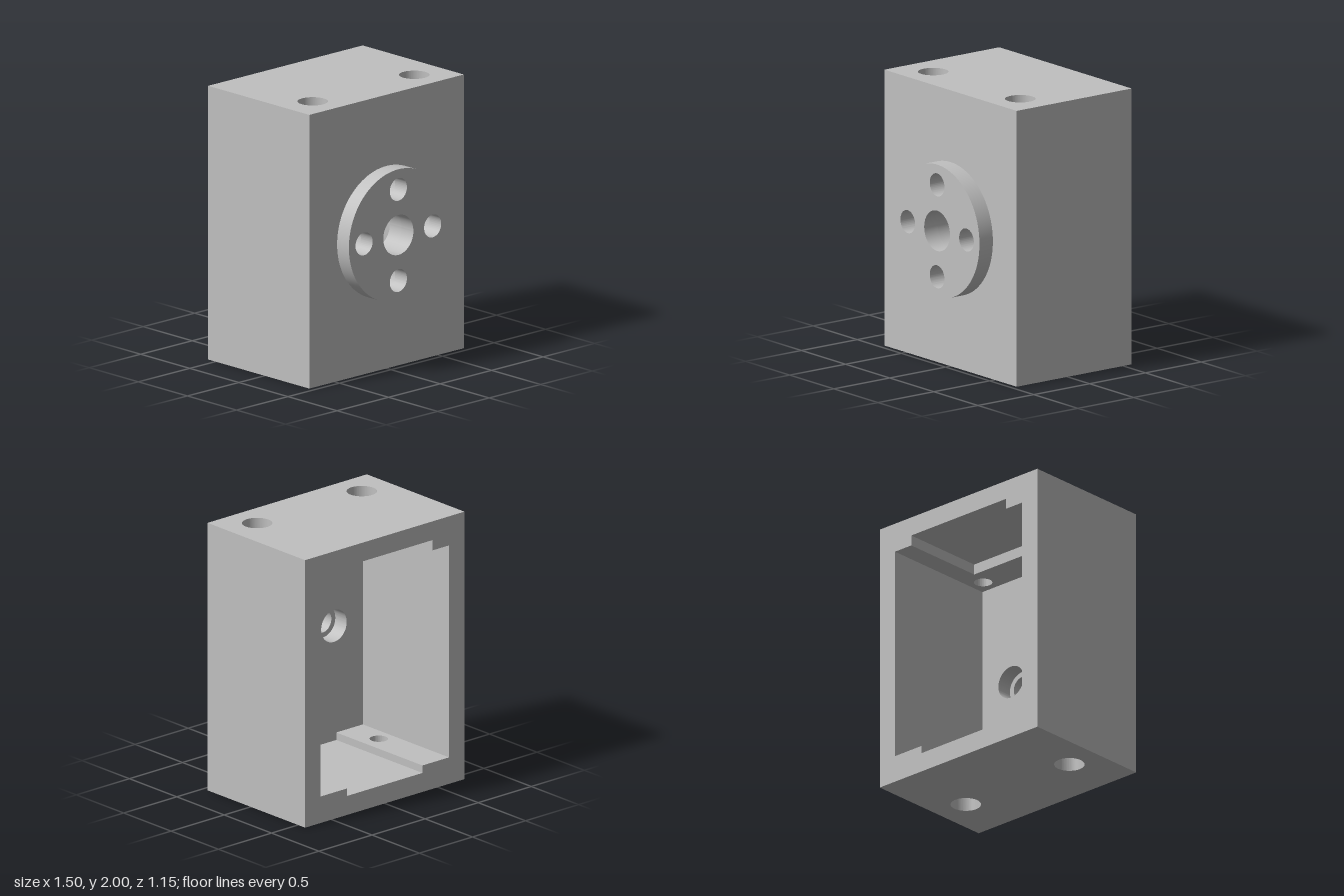
import * as THREE from 'three';
import { toCreasedNormals } from 'three/addons/utils/BufferGeometryUtils.js';

const BACK = -0.575, WALL = 0.335, FACE = 0.455, TIP = 0.575; // z planes
const OUT = 0.75, IN = 0.605; // half widths outside and inside
const MID = 1; // height of the flange centre

export function createModel() {
  const group = new THREE.Group();
  const grey = new THREE.MeshStandardMaterial({ color: 0xc0c0c0 });
  grey.name = 'plain grey';

  const add = (name, geometry) => {
    const mesh = new THREE.Mesh(geometry, grey);
    mesh.name = name;
    group.add(mesh);
  };
  const circle = (Type, x, y, r) => new Type().absarc(x, y, r, 0, Math.PI * 2, false);
  const polygon = (pts) => new THREE.Shape(pts.map(([x, y]) => new THREE.Vector2(x, y)));
  const rect = (x0, y0, x1, y1) => polygon([[x0, y0], [x1, y0], [x1, y1], [x0, y1]]);
  const extrude = (shape, holes, depth) => {
    for (const [x, y, r] of holes) shape.holes.push(circle(THREE.Path, x, y, r));
    const geo = new THREE.ExtrudeGeometry(shape, { depth, bevelEnabled: false, curveSegments: 48 });
    return toCreasedNormals(geo, 0.5);
  };
  // Layer drawn in x and -z, extruded upwards between two heights
  const layer = (name, shape, holes, y0, y1) =>
    add(name, extrude(shape, holes, y1 - y0).rotateX(-Math.PI / 2).translate(0, y0, 0));

  // Front wall and round flange: centre bore and four counterbored holes
  const bolts = (r) => [
    [0, MID, 0.146],
    ...[0, 1, 2, 3].map((i) => {
      const a = (i * Math.PI) / 2;
      return [0.333 * Math.cos(a), MID + 0.333 * Math.sin(a), r];
    }),
  ];
  add('frontWall', extrude(rect(-OUT, 0, OUT, 2), bolts(0.12), FACE - WALL).translate(0, 0, WALL));
  add('flange', extrude(circle(THREE.Shape, 0, MID, 0.48), bolts(0.083), TIP - FACE).translate(0, 0, FACE));

  // Top and bottom plates with wide screw-head holes
  const pair = (z, r) => [[-0.493, -z, r], [0.493, -z, r]];
  const slab = () => rect(-OUT, -WALL, OUT, -BACK);
  const topZ = 0.22, bottomZ = 0.04;
  layer('bottomPlate', slab(), pair(bottomZ, 0.107), 0, 0.142);
  layer('topPlate', slab(), pair(topZ, 0.107), 1.86, 2);

  // Pad under the top plate, leaving a shallow pocket open to the back
  const pad = polygon([
    [-IN, -WALL], [IN, -WALL], [IN, -BACK], [0.45, -BACK],
    [0.45, -0.08], [-0.45, -0.08], [-0.45, -BACK], [-IN, -BACK],
  ]);
  layer('topPad', pad, pair(topZ, 0.065), 1.783, 1.86);

  // Side walls and floor ledges
  for (const s of [-1, 1]) {
    const side = s < 0 ? 'right' : 'left';
    const wall = new THREE.BoxGeometry(OUT - IN, 1.718, WALL - BACK);
    add(side + 'Wall', wall.translate((s * (OUT + IN)) / 2, 1.001, (WALL + BACK) / 2));
    const [x0, x1] = s < 0 ? [-IN, -0.355] : [0.355, IN];
    layer(side + 'FloorLedge', rect(x0, -WALL, x1, -BACK), [[s * 0.493, -bottomZ, 0.065]], 0.142, 0.198);
  }
  return group;
}
